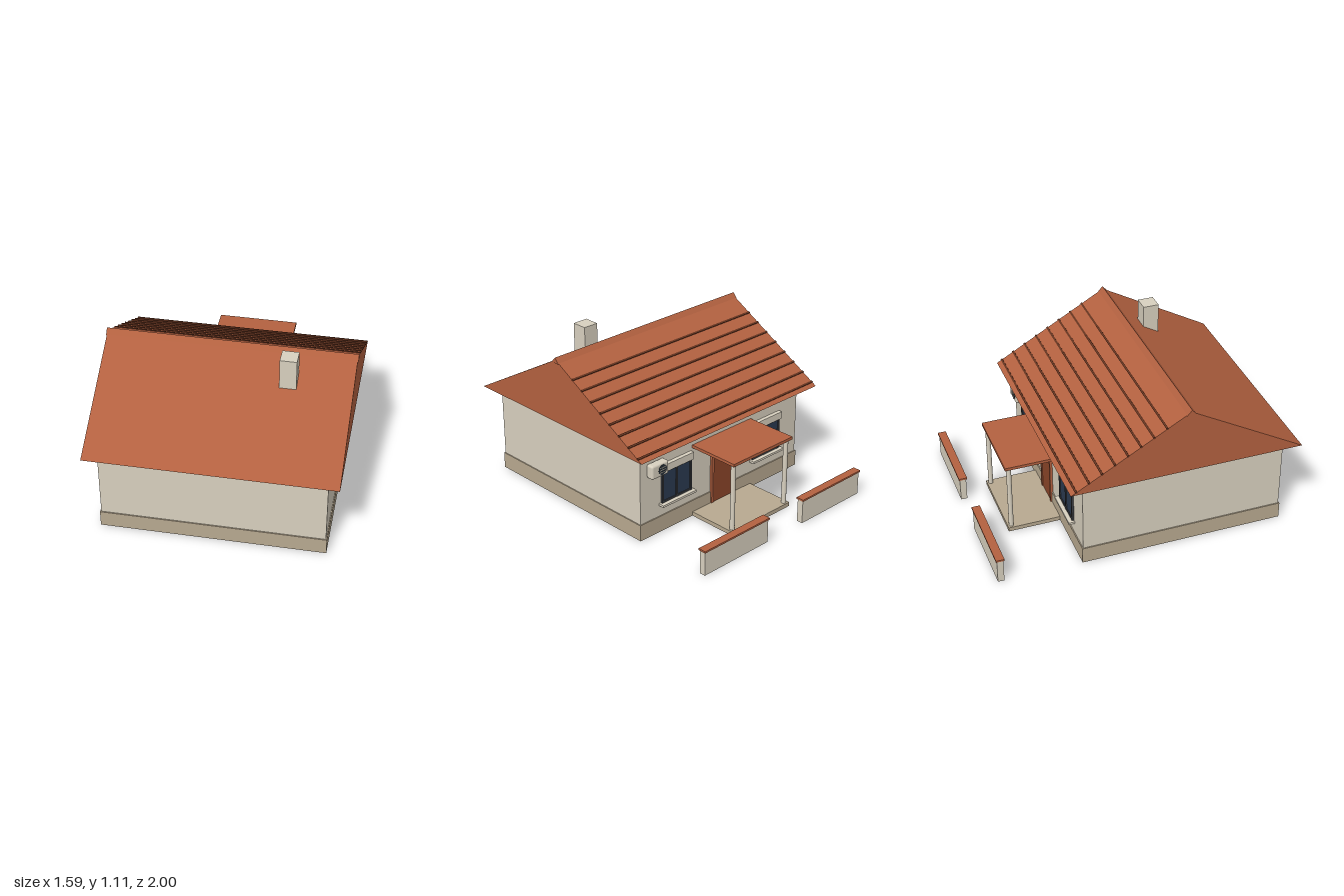
import * as THREE from 'three';
import { RoundedBoxGeometry } from 'three/addons/geometries/RoundedBoxGeometry.js';

const mat = (name, color) => {
  const m = new THREE.MeshStandardMaterial({ color });
  m.name = name;
  return m;
};

export function createModel() {
  const house = new THREE.Group();
  house.name = 'house';

  const plaster = mat('plaster', 0xd8d0bf);
  const stone = mat('stone', 0xb8a990);
  const tile = mat('roofTile', 0xb36140);
  const seam = mat('tileSeam', 0x64331f);
  const doorWood = mat('doorWood', 0x8c4629);
  const glass = mat('glass', 0x2b3a50);
  const frameMat = mat('windowFrame', 0x3a3d42);
  const grilleMat = mat('fanGrille', 0x26303a);

  const add = (name, geometry, material, parent = house) => {
    const mesh = new THREE.Mesh(geometry, material);
    mesh.name = name;
    parent.add(mesh);
    return mesh;
  };
  // Box given by its minimum and maximum on each axis
  const box = (name, material, [x0, x1], [y0, y1], [z0, z1], parent) => {
    const mesh = add(name, new THREE.BoxGeometry(x1 - x0, y1 - y0, z1 - z0), material, parent);
    mesh.position.set((x0 + x1) / 2, (y0 + y1) / 2, (z0 + z1) / 2);
    return mesh;
  };
  // Prism along x from a profile of [z, y] points
  const prism = (name, material, points, halfLength) => {
    const shape = new THREE.Shape(points.map(([z, y]) => new THREE.Vector2(-z, y)));
    const geometry = new THREE.ExtrudeGeometry(shape, { depth: halfLength * 2, bevelEnabled: false });
    geometry.translate(0, 0, -halfLength);
    geometry.rotateY(Math.PI / 2);
    return add(name, geometry, material);
  };

  // Body
  box('plinth', stone, [-0.72, 0.72], [0, 0.11], [-0.442, 0.913]);
  box('walls', plaster, [-0.713, 0.713], [0.1, 0.59], [-0.435, 0.906]);
  box('cornice', plaster, [-0.72, 0.72], [0.575, 0.601], [-0.442, 0.913]);

  // Roof with ridge cap and seams on the back slope
  const eave = -0.535, ridge = 0.235, ridgeY = 1.034;
  prism('roof', tile, [[1, 0.6], [ridge, ridgeY], [eave, 0.6]], 0.79);
  prism('ridgeCap', tile, [[0.268, 1.013], [ridge, 1.05], [0.202, 1.013]], 0.795);
  const slope = (ridgeY - 0.6) / (ridge - eave);
  for (let i = 0; i < 8; i++) {
    const z = -0.5 + i * 0.083;
    const strip = add('tileSeam', new THREE.BoxGeometry(1.582, 0.012, 0.013), seam);
    strip.position.set(0, 0.6 + (z - eave) * slope, z);
    strip.rotation.x = -Math.atan(slope);
  }
  box('chimney', plaster, [0.337, 0.443], [0.82, 1.11], [0.36, 0.465]);

  // Windows on the back wall
  for (const side of [1, -1]) {
    const win = new THREE.Group();
    win.name = 'window';
    win.position.x = side * 0.41;
    house.add(win);
    box('windowPane', glass, [-0.12, 0.12], [0.2, 0.42], [-0.442, -0.434], win);
    for (const x of [-0.121, 0, 0.121])
      box('windowUpright', frameMat, [x - 0.007, x + 0.007], [0.2, 0.42], [-0.449, -0.434], win);
    for (const y of [0.206, 0.414])
      box('windowRail', frameMat, [-0.128, 0.128], [y - 0.006, y + 0.006], [-0.448, -0.434], win);
    box('shutterBox', plaster, [-0.132, 0.132], [0.42, 0.47], [-0.462, -0.43], win);
    box('windowSill', plaster, [-0.145, 0.145], [0.185, 0.2], [-0.475, -0.43], win);
  }

  // Door
  for (const side of [1, -1]) {
    const jamb = box('doorJamb', tile, [-0.01, 0.01], [0.03, 0.42], [-0.452, -0.43]);
    jamb.position.x = side * 0.093;
  }
  box('doorHead', tile, [-0.103, 0.103], [0.405, 0.425], [-0.452, -0.43]);
  box('door', doorWood, [-0.085, 0.085], [0.03, 0.406], [-0.446, -0.43]);

  // Porch
  box('porchFloor', stone, [-0.268, 0.268], [0, 0.028], [-0.79, -0.44]);
  box('porchRoof', tile, [-0.267, 0.267], [0.485, 0.505], [-0.795, -0.43]);
  for (const side of [1, -1]) {
    const post = add('porchPost', new THREE.CylinderGeometry(0.016, 0.016, 0.46, 16), plaster);
    post.position.set(side * 0.24, 0.257, -0.765);
  }

  // Air conditioner with fan grille
  const unit = add('airConditioner', new RoundedBoxGeometry(0.14, 0.094, 0.055, 3, 0.014), plaster);
  unit.position.set(0.59, 0.468, -0.461);
  const fan = add('fanGrille', new THREE.CylinderGeometry(0.034, 0.034, 0.004, 24), grilleMat);
  fan.rotation.x = Math.PI / 2;
  fan.position.set(0.573, 0.468, -0.489);
  for (const dy of [-0.016, 0, 0.016])
    box('grilleBar', plaster, [0.546, 0.6], [0.466 + dy, 0.47 + dy], [-0.494, -0.488]);

  // Garden walls with tiled caps
  for (const side of [1, -1]) {
    const wall = new THREE.Group();
    wall.name = 'gardenWall';
    wall.position.x = side * 0.437;
    house.add(wall);
    box('gardenWallBody', plaster, [-0.276, 0.276], [0, 0.162], [-0.993, -0.951], wall);
    box('gardenWallCap', tile, [-0.282, 0.282], [0.16, 0.172], [-1, -0.945], wall);
  }

  return house;
}
